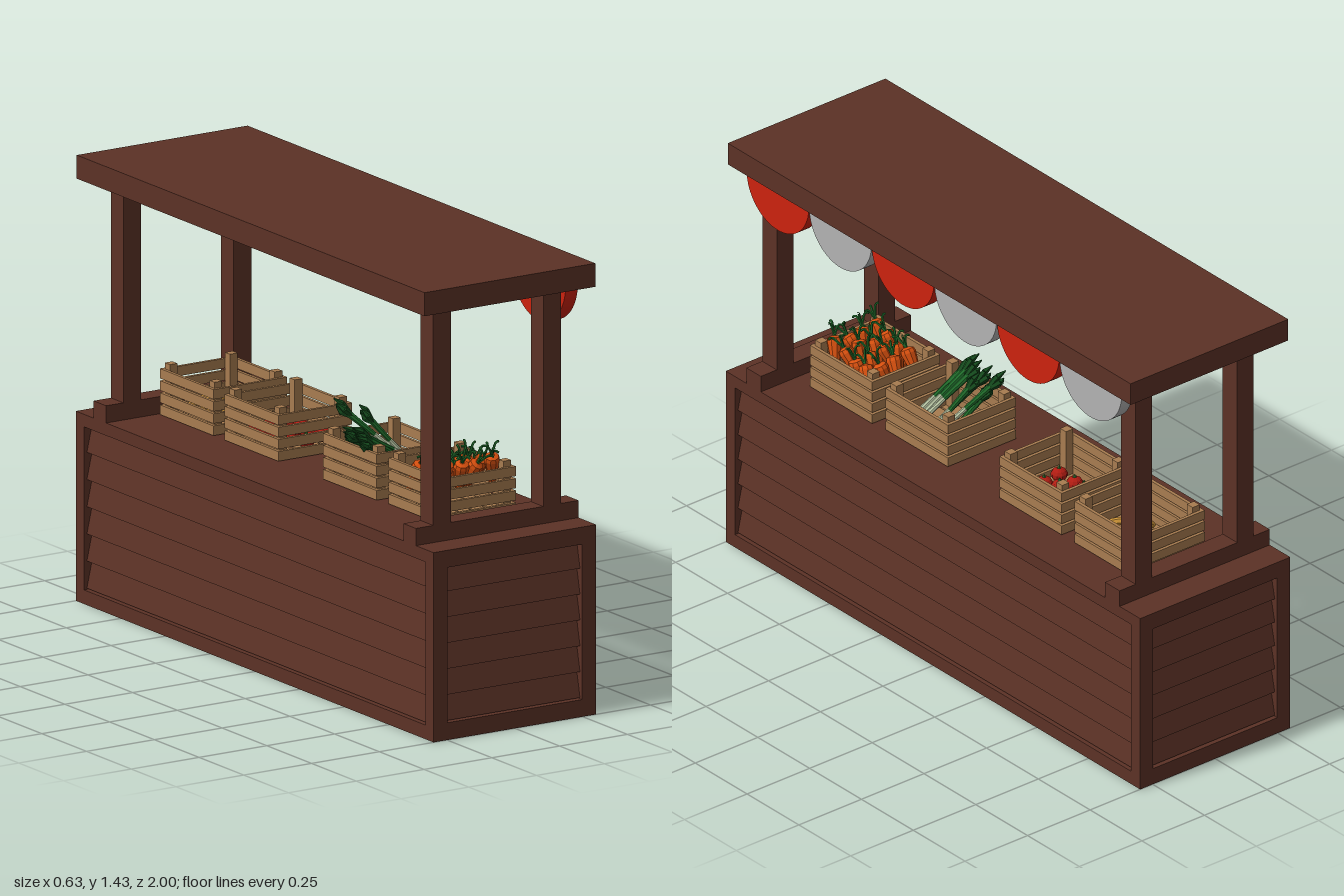
import * as THREE from 'three';

const mat = (color) => new THREE.MeshStandardMaterial({ color, flatShading: true });
const WOOD = mat(0x5c3226), CRATE = mat(0xa87c50), RED = mat(0xcc220e), WHITE = mat(0xb2b2b2);
const ORANGE = mat(0xd8500f), GREEN = mat(0x1f6b2a), DARK = mat(0x14491c), PALE = mat(0xb9c6a4);
const TOMATO = mat(0xb01c12), YELLOW = mat(0xd59a3a);
const V = (x, y, z) => new THREE.Vector3(x, y, z);

function add(parent, name, geometry, material) {
  const m = new THREE.Mesh(geometry, material);
  m.name = name;
  parent.add(m);
  return m;
}

function group(parent, name) {
  const g = new THREE.Group();
  g.name = name;
  parent.add(g);
  return g;
}

// Box given by its low and high corners
function box(parent, name, material, x0, x1, y0, y1, z0, z1) {
  const m = add(parent, name, new THREE.BoxGeometry(x1 - x0, y1 - y0, z1 - z0), material);
  m.position.set((x0 + x1) / 2, (y0 + y1) / 2, (z0 + z1) / 2);
  return m;
}

// Tapered rod from a to b
function rod(parent, name, material, a, b, ra, rb, sides = 8) {
  const d = b.clone().sub(a);
  const m = add(parent, name, new THREE.CylinderGeometry(rb, ra, d.length(), sides), material);
  m.position.copy(a).add(b).multiplyScalar(0.5);
  m.quaternion.setFromUnitVectors(V(0, 1, 0), d.normalize());
  return m;
}

// Frame with lapped boards inside; faces +z, its back lies at z = 0
function panel(parent, name, halfWidth, halfHole, height, y0, y1) {
  const g = group(parent, name);
  const s = new THREE.Shape([[-halfWidth, 0], [halfWidth, 0], [halfWidth, height], [-halfWidth, height]]
    .map(([x, y]) => new THREE.Vector2(x, y)));
  s.holes.push(new THREE.Path([[-halfHole, y0], [-halfHole, y1], [halfHole, y1], [halfHole, y0]]
    .map(([x, y]) => new THREE.Vector2(x, y))));
  add(g, 'panelFrame', new THREE.ExtrudeGeometry(s, { depth: 0.04, bevelEnabled: false }), WOOD);
  const n = 6, pitch = (y1 - y0) / n;
  for (let i = 0; i < n; i++) {
    const b = add(g, 'lappedBoard', new THREE.BoxGeometry(2 * halfHole, pitch * 0.98, 0.015), WOOD);
    b.position.set(0, y0 + pitch * (i + 0.5), 0.012);
    b.rotation.x = -0.22;
  }
  return g;
}

// Slatted crate, centred on its own origin and standing on y = 0
function crate(parent, name, x, z) {
  const g = group(parent, name);
  g.position.set(x, 0.607, z);
  const hx = 0.136, hz = 0.15, t = 0.011;
  for (let i = 0; i < 4; i++) {
    const y = 0.002 + i * 0.0385, top = y + 0.031;
    for (const s of [-1, 1]) {
      box(g, 'crateSideSlat', CRATE, s * (hx - t / 2) - t / 2, s * (hx - t / 2) + t / 2, y, top, -hz, hz);
      box(g, 'crateEndSlat', CRATE, -hx + t, hx - t, y, top, s * (hz - t / 2) - t / 2, s * (hz - t / 2) + t / 2);
    }
  }
  for (const sx of [-1, 1]) for (const sz of [-1, 1]) {
    const px = sx * (hx - t - 0.014), pz = sz * (hz - t - 0.014);
    box(g, 'cratePost', CRATE, px - 0.014, px + 0.014, 0, 0.168, pz - 0.014, pz + 0.014);
  }
  for (let i = 0; i < 5; i++) {
    const px = -0.1 + i * 0.05;
    box(g, 'crateFloorSlat', CRATE, px - 0.022, px + 0.022, 0.001, 0.01, -hz + t, hz - t);
  }
  return g;
}

// Carrot with a rounded crown at the top and curling leaves
function carrot(parent, x, y, z, turn) {
  const g = group(parent, 'carrot');
  const profile = [[0, -0.13], [0.008, -0.12], [0.019, -0.05], [0.025, -0.012], [0.022, 0], [0.008, 0.006], [0, 0.004]]
    .map(([r, h]) => new THREE.Vector2(r, h));
  add(g, 'carrotRoot', new THREE.LatheGeometry(profile, 9), ORANGE);
  for (let i = 0; i < 3; i++) {
    const a = turn + i * 2.1, c = Math.cos(a), s = Math.sin(a);
    const path = new THREE.CatmullRomCurve3([V(0, 0, 0), V(0.006 * c, 0.022, 0.006 * s),
      V(0.018 * c, 0.04 + 0.005 * i, 0.018 * s), V(0.03 * c, 0.036 + 0.007 * i, 0.03 * s)]);
    add(g, 'carrotLeaf', new THREE.TubeGeometry(path, 8, 0.004, 5), GREEN);
  }
  g.position.set(x, y, z);
  g.rotation.set(0.5 + 0.15 * Math.sin(turn * 3), 0, 0.25 * Math.sin(turn * 2));
}

// Leek from root a to leaf tip b: pale stalk, green shaft, fanned leaves
function leek(parent, a, b) {
  const g = group(parent, 'leek');
  const p = (t) => a.clone().lerp(b, t);
  rod(g, 'leekStalk', PALE, a, p(0.4), 0.01, 0.008);
  rod(g, 'leekShaft', GREEN, p(0.4), p(0.78), 0.008, 0.011);
  for (let i = 0; i < 4; i++) {
    const o = V(0, 0.014 * Math.cos(i * 1.6), 0.014 * Math.sin(i * 1.6));
    const mid = p(0.88).add(o);
    rod(g, 'leekLeaf', DARK, p(0.7), mid, 0.006, 0.011, 5);
    rod(g, 'leekLeafTip', DARK, mid, p(1 - 0.02 * i).addScaledVector(o, 0.7), 0.011, 0.002, 5);
  }
}

export function createModel() {
  const model = new THREE.Group();
  model.name = 'marketStall';

  // Counter: core with a panelled frame on every side
  const counter = group(model, 'counter');
  box(counter, 'counterCore', WOOD, -0.262, 0.262, 0, 0.605, -0.962, 0.962);
  for (const s of [-1, 1]) {
    const side = panel(counter, 'sidePanel', 1, 0.955, 0.605, 0.045, 0.565);
    side.position.x = s * 0.26;
    side.rotation.y = s * Math.PI / 2;
    const end = panel(counter, 'endPanel', 0.26, 0.248, 0.605, 0.055, 0.55);
    end.position.z = s * 0.96;
    if (s < 0) end.rotation.y = Math.PI;
  }

  // Sills, posts and roof
  for (const s of [-1, 1]) {
    const z0 = s * 0.866 - 0.035, z1 = z0 + 0.07;
    box(model, 'sill', WOOD, -0.3, 0.3, 0.605, 0.66, z0, z1);
    for (const x of [-0.203, 0.203]) box(model, 'post', WOOD, x - 0.033, x + 0.033, 0.66, 1.356, z0, z1);
  }
  box(model, 'roof', WOOD, -0.315, 0.315, 1.355, 1.43, -0.972, 0.972);

  // Awning scallops along the +x edge
  const awning = group(model, 'awning');
  for (let i = 0; i < 6; i++) {
    const half = new THREE.Shape();
    half.absarc(0, 0, 0.15, Math.PI, 2 * Math.PI, false);
    half.closePath();
    const geo = new THREE.ExtrudeGeometry(half, { depth: 0.045, bevelEnabled: false, curveSegments: 20 });
    const m = add(awning, 'scallop', geo, i % 2 ? WHITE : RED);
    m.scale.y = 0.97;
    m.rotation.y = Math.PI / 2;
    m.position.set(0.25, 1.355, 0.755 - i * 0.302);
  }

  // Crate of carrots
  const carrots = crate(model, 'carrotCrate', 0.03, 0.605);
  for (let r = 0; r < 4; r++) for (let c = 0; c < 4; c++) {
    const k = r * 4 + c;
    carrot(carrots, -0.085 + c * 0.055, 0.178 - r * 0.012 - 0.008 * (k % 3), 0.1 - r * 0.05, k * 1.3);
  }

  // Crate of leeks leaning towards -x
  const leeks = crate(model, 'leekCrate', 0.022, 0.25);
  const tips = [[-0.165, 0.18, 0.08], [-0.155, 0.2, 0.05], [-0.14, 0.195, 0.02], [-0.15, 0.19, -0.02],
    [-0.045, 0.23, -0.085], [-0.1, 0.245, -0.145], [-0.12, 0.16, -0.06]];
  tips.forEach(([x, y, z], i) => leek(leeks, V(0.1 - 0.012 * (i % 2), 0.04 + 0.012 * (i % 3), 0.09 - i * 0.028), V(x, y, z)));

  // Crate of tomatoes
  const tomatoes = crate(model, 'tomatoCrate', 0.022, -0.3);
  for (let r = 0; r < 4; r++) for (let c = 0; c < 3; c++) {
    const t = add(tomatoes, 'tomato', new THREE.SphereGeometry(0.027, 10, 7), TOMATO);
    t.scale.y = 0.85;
    t.position.set(-0.065 + c * 0.06 + 0.012 * (r % 2), 0.034 + 0.01 * ((r + c) % 2), -0.09 + r * 0.06);
    const stem = add(tomatoes, 'tomatoStem', new THREE.ConeGeometry(0.008, 0.012, 5), GREEN);
    stem.position.copy(t.position).add(V(0, 0.026, 0));
  }

  // Crate of bananas
  const bananas = crate(model, 'bananaCrate', 0.022, -0.662);
  for (let i = 0; i < 6; i++) {
    const path = new THREE.CatmullRomCurve3([V(-0.06, 0, 0), V(-0.03, 0.022, 0), V(0.03, 0.022, 0), V(0.06, 0, 0)]);
    const b = group(bananas, 'banana');
    add(b, 'bananaBody', new THREE.TubeGeometry(path, 8, 0.012, 6), YELLOW);
    for (const x of [-0.06, 0.06]) add(b, 'bananaEnd', new THREE.SphereGeometry(0.012, 6, 5), YELLOW).position.x = x;
    b.position.set(0.02 * (i % 3) - 0.02, 0.026 + 0.012 * (i % 2), -0.08 + i * 0.033);
    b.rotation.y = 0.5 * Math.sin(i * 2.3);
  }
  return model;
}
